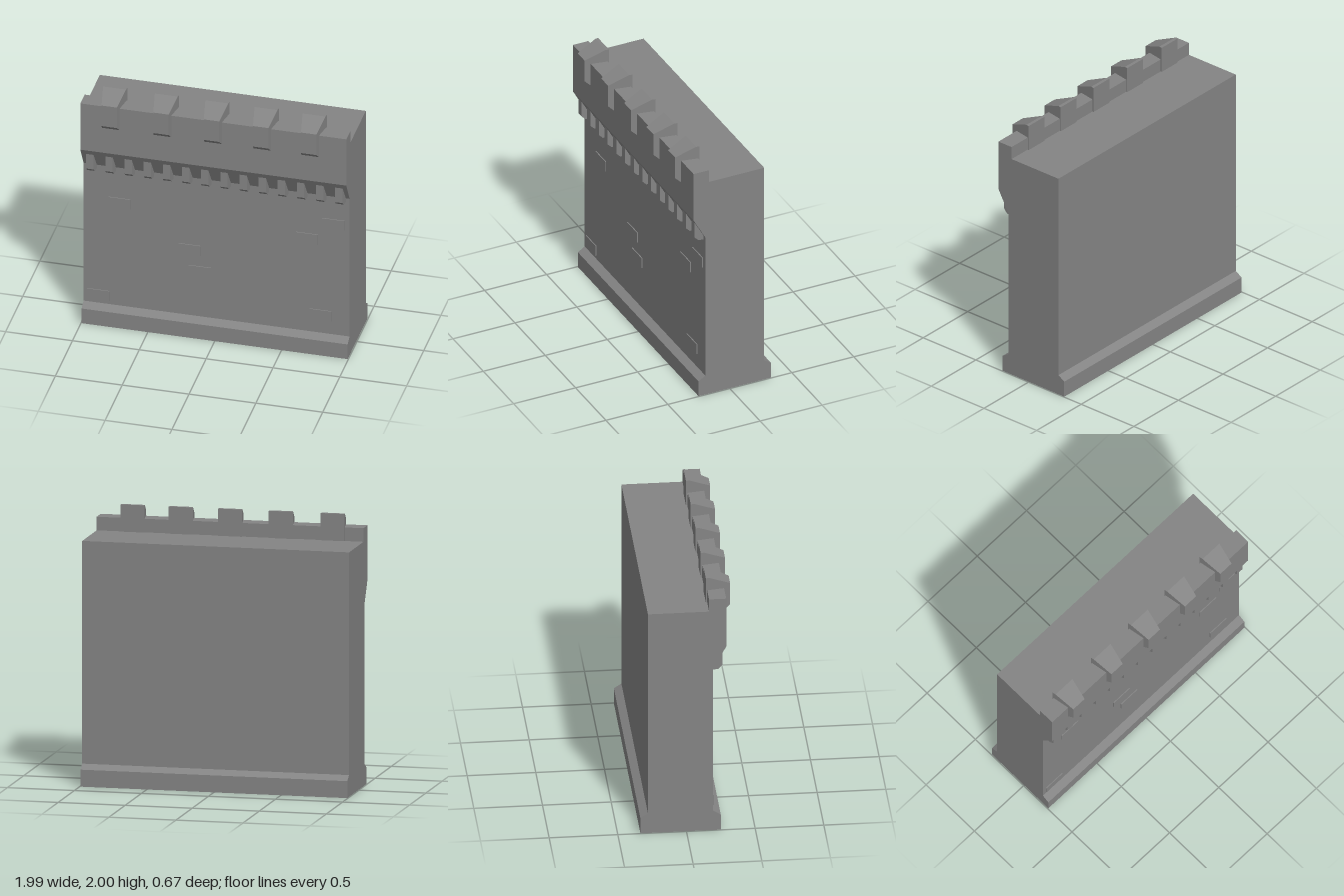
import * as THREE from 'three';

const stone = new THREE.MeshStandardMaterial({ color: 0x848484, side: THREE.DoubleSide });
stone.name = 'grey stone';

// Extrudes a [z, y] side profile along x, centred on x = 0
function sweep(profile, width) {
  const shape = new THREE.Shape(profile.map(([z, y]) => new THREE.Vector2(z, y)));
  const geo = new THREE.ExtrudeGeometry(shape, { depth: width, bevelEnabled: false });
  return geo.translate(0, 0, -width / 2).rotateY(-Math.PI / 2);
}

// Sweeps a profile whose half width narrows from back to front
function taperedSweep(profile, zBack, halfBack, zFront, halfFront) {
  const geo = sweep(profile, 2);
  const p = geo.attributes.position;
  for (let i = 0; i < p.count; i++) {
    const t = (p.getZ(i) - zBack) / (zFront - zBack);
    p.setX(i, p.getX(i) * THREE.MathUtils.lerp(halfBack, halfFront, t));
  }
  geo.computeVertexNormals();
  return geo;
}

// Leaves the underside open by dropping the triangles lying on the ground
function openBottom(geo) {
  const p = geo.attributes.position;
  const kept = [];
  for (let i = 0; i < p.count; i += 3) {
    if (Math.max(p.getY(i), p.getY(i + 1), p.getY(i + 2)) > 1e-4) kept.push(i, i + 1, i + 2);
  }
  geo.setIndex(kept);
  geo.clearGroups();
  return geo;
}

export function createModel() {
  const model = new THREE.Group();
  model.name = 'castleWall';
  const add = (name, geo, x = 0, y = 0, z = 0) => {
    const mesh = new THREE.Mesh(geo, stone);
    mesh.name = name;
    mesh.position.set(x, y, z);
    model.add(mesh);
  };

  // Wall with plinth, overhanging parapet and walkway
  add('wall', openBottom(sweep([
    [0.25, 0], [0.25, 0.125], [0.195, 0.16], [0.195, 1.335], [0.29, 1.505], [0.29, 1.9],
    [0.165, 1.9], [0.165, 1.8], [-0.28, 1.8], [-0.28, 0.16], [-0.335, 0.125], [-0.335, 0],
  ], 1.99)));

  // Merlons straddling the parapet
  const merlon = taperedSweep([
    [0.155, 1.8], [0.155, 2], [0.18, 2], [0.335, 1.935],
    [0.335, 1.76], [0.288, 1.715], [0.288, 1.8],
  ], 0.155, 0.09, 0.335, 0.0575);
  [-0.767, -0.38, -0.002, 0.366, 0.725].forEach((x) => add('merlon', merlon, x));

  // Row of corbels below the overhang
  const corbel = taperedSweep([
    [0.193, 1.305], [0.235, 1.305], [0.265, 1.335], [0.265, 1.46], [0.193, 1.335],
  ], 0.193, 0.034, 0.265, 0.0275);
  for (let i = 0; i < 14; i++) add('corbel', corbel, -0.93 + i * 0.1433);

  // Scattered bricks standing slightly proud of the wall
  const brick = new THREE.BoxGeometry(0.165, 0.084, 0.009);
  [
    [-0.724, 1.035], [0.873, 1.1], [0.676, 0.952], [-0.2, 0.72],
    [-0.124, 0.545], [0.78, 0.313], [-0.884, 0.23],
  ].forEach(([x, y]) => add('brick', brick, x, y, 0.1975));

  return model;
}
